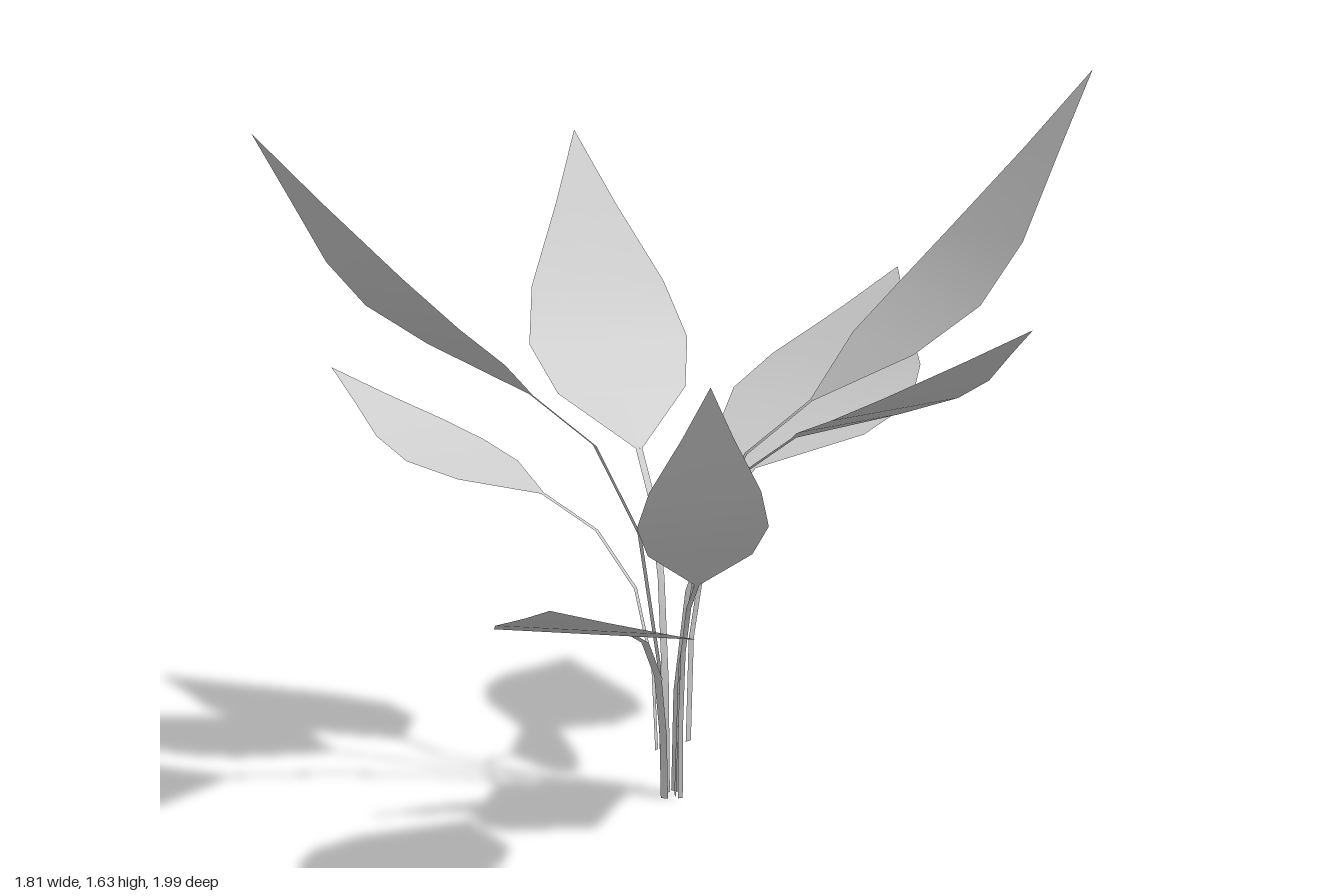
import * as THREE from 'three';

const material = new THREE.MeshStandardMaterial({ color: 0xcccccc, side: THREE.DoubleSide });

// Rows along a stem or leaf: [outward fraction, height fraction, width fraction]
const STEM_ROWS = [[0, 0, 1], [0.03, 0.33, 1], [0.18, 0.65, 1], [0.52, 0.87, 1], [1, 1, 1]];
const LEAF_ROWS = [[0, 0, 0.04], [0.25, 0.17, 0.8], [0.45, 0.32, 1], [0.62, 0.5, 0.84], [0.82, 0.76, 0.38], [1, 1, 0]];

// Flat-across ribbon from one point to another, its width kept horizontal
function ribbon(name, from, to, rows, halfWidth) {
  const a = new THREE.Vector3(...from), b = new THREE.Vector3(...to);
  const side = new THREE.Vector3(b.z - a.z, 0, a.x - b.x).normalize();
  const positions = [], index = [];
  rows.forEach(([out, up, width], i) => {
    const x = THREE.MathUtils.lerp(a.x, b.x, out);
    const y = THREE.MathUtils.lerp(a.y, b.y, up);
    const z = THREE.MathUtils.lerp(a.z, b.z, out);
    for (const s of [-1, 0, 1]) {
      const w = s * width * halfWidth;
      positions.push(x + side.x * w, y, z + side.z * w);
    }
    if (i === 0) return;
    for (let j = 0; j < 2; j++) {
      const p = (i - 1) * 3 + j, q = p + 3;
      index.push(p, p + 1, q + 1, p, q + 1, q);
    }
  });
  const geometry = new THREE.BufferGeometry();
  geometry.setAttribute('position', new THREE.Float32BufferAttribute(positions, 3));
  geometry.setIndex(index);
  geometry.computeVertexNormals();
  const mesh = new THREE.Mesh(geometry, material);
  mesh.name = name;
  return mesh;
}

// Each shoot: root of the stem, joint with the leaf, leaf tip, leaf half width
const SHOOTS = [
  { name: 'back', root: [-0.03, 0, 0.07], joint: [-0.03, 0.7, -0.27], tip: [-0.03, 1.12, -1], half: 0.25 },
  { name: 'right', root: [-0.06, 0.1, 0.1], joint: [-0.35, 0.67, 0.13], tip: [-0.91, 0.93, 0.2], half: 0.175 },
  { name: 'left', root: [0, 0.12, 0.06], joint: [0.3, 0.85, 0.11], tip: [0.9, 1.13, 0.21], half: 0.22 },
  { name: 'backLeft', root: [-0.01, 0, 0.1], joint: [0.22, 0.9, -0.11], tip: [0.68, 1.63, -0.57], half: 0.285 },
  { name: 'backRight', root: [-0.04, 0, 0.09], joint: [-0.21, 0.76, -0.06], tip: [-0.56, 1.48, -0.31], half: 0.2 },
  { name: 'frontRight', root: [-0.03, 0, 0.12], joint: [-0.2, 0.94, 0.38], tip: [-0.5, 1.51, 0.91], half: 0.26 },
  { name: 'frontLeft', root: [-0.02, 0, 0.13], joint: [0.08, 0.46, 0.43], tip: [0.28, 0.64, 0.99], half: 0.21 },
  { name: 'smallFront', root: [0.01, 0, 0.11], joint: [0.13, 0.53, 0.23], tip: [0.3, 1, 0.45], half: 0.14 },
];

export function createModel() {
  const plant = new THREE.Group();
  plant.name = 'leafyPlant';
  for (const { name, root, joint, tip, half } of SHOOTS) {
    const shoot = new THREE.Group();
    shoot.name = name + 'Shoot';
    shoot.add(ribbon('stem', root, joint, STEM_ROWS, 0.04 * half));
    shoot.add(ribbon('leaf', joint, tip, LEAF_ROWS, half));
    plant.add(shoot);
  }
  return plant;
}
